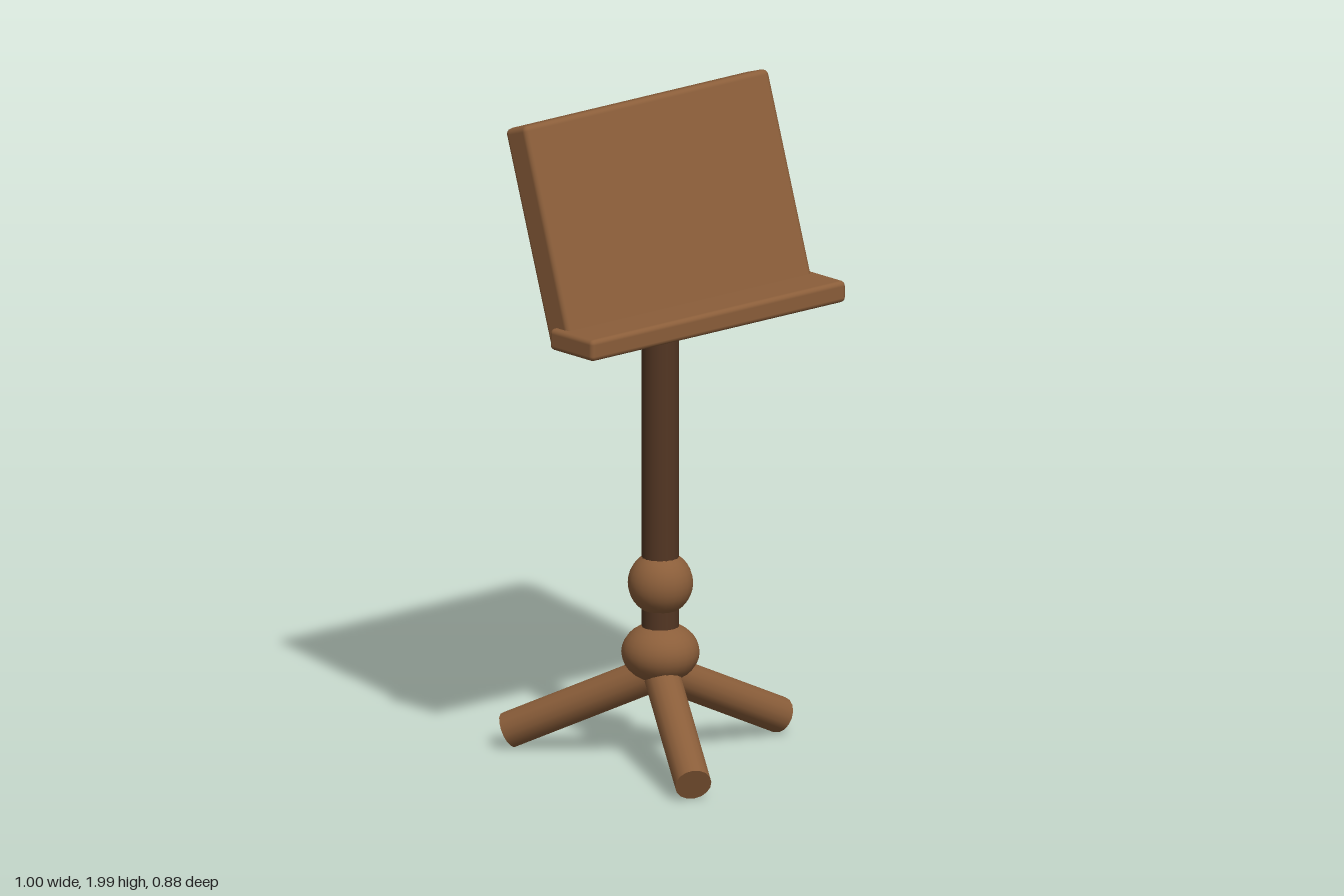
import * as THREE from 'three';
import { RoundedBoxGeometry } from 'three/addons/geometries/RoundedBoxGeometry.js';

export function createModel() {
  const model = new THREE.Group();
  model.name = 'musicStand';

  const wood = new THREE.MeshStandardMaterial({ color: 0x8b5e3a });
  wood.name = 'wood';
  const darkWood = new THREE.MeshStandardMaterial({ color: 0x533623 });
  darkWood.name = 'darkWood';

  const add = (name, geometry, material, x, y, z) => {
    const mesh = new THREE.Mesh(geometry, material);
    mesh.name = name;
    mesh.position.set(x, y, z);
    model.add(mesh);
    return mesh;
  };

  // Round rod between two points
  const rod = (name, from, to, radius, material) => {
    const axis = to.clone().sub(from);
    const mid = from.clone().add(to).multiplyScalar(0.5);
    const mesh = add(name, new THREE.CylinderGeometry(radius, radius, axis.length(), 16), material, mid.x, mid.y, mid.z);
    mesh.quaternion.setFromUnitVectors(new THREE.Vector3(0, 1, 0), axis.normalize());
  };

  // Leaning desk board and the ledge along its foot
  const board = add('deskBoard', new RoundedBoxGeometry(0.96, 0.655, 0.1, 2, 0.018), wood, 0, 1.676, -0.004);
  board.rotation.x = -THREE.MathUtils.degToRad(18);
  add('ledge', new RoundedBoxGeometry(1, 0.065, 0.192, 2, 0.015), wood, 0, 1.385, 0.164);

  // Pole with turned knobs
  rod('pole', new THREE.Vector3(0, 0.3, 0), new THREE.Vector3(0, 1.565, 0), 0.055, darkWood);
  const ball = new THREE.SphereGeometry(0.096, 24, 16);
  add('topKnob', ball, wood, 0, 1.44, 0);
  add('middleKnob', ball, wood, 0, 0.54, 0);
  add('baseKnob', new THREE.SphereGeometry(0.115, 24, 16), wood, 0, 0.33, 0).scale.y = 0.78;

  // Three splayed legs, evenly spaced
  for (let i = 0; i < 3; i++) {
    const a = (i * Math.PI * 2) / 3;
    const foot = new THREE.Vector3(Math.cos(a) * 0.468, 0.052, Math.sin(a) * 0.468);
    rod('leg' + (i + 1), new THREE.Vector3(0, 0.272, 0), foot, 0.054, wood);
  }
  return model;
}
